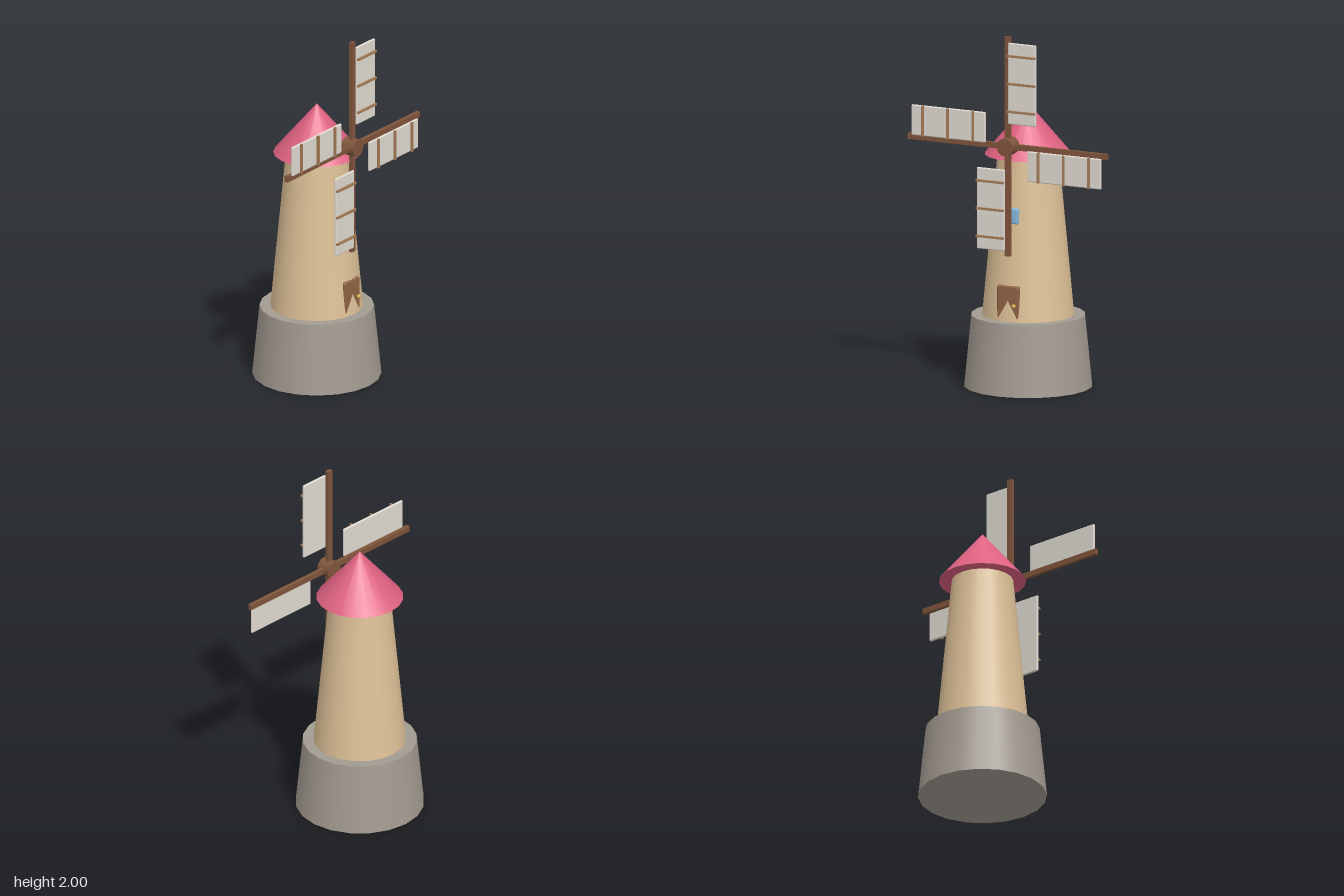
import * as THREE from 'three';
import { RoundedBoxGeometry } from 'three/addons/geometries/RoundedBoxGeometry.js';

const mat = (color) => new THREE.MeshStandardMaterial({ color });
const stone = mat(0xa39b91), plaster = mat(0xdfc298), tile = mat(0xdd6180);
const wood = mat(0x80553c), rail = mat(0xa67c58), cloth = mat(0xe0dbd2);
const glass = mat(0x86b8dc), doorWood = mat(0x906444), brass = mat(0xd9b040);

function add(parent, name, geometry, material, x = 0, y = 0, z = 0) {
  const mesh = new THREE.Mesh(geometry, material);
  mesh.name = name;
  mesh.position.set(x, y, z);
  parent.add(mesh);
  return mesh;
}

// One blade pointing up: half spar, cloth panel on its +x side, three rails
function createBlade() {
  const blade = new THREE.Group();
  blade.name = 'blade';
  add(blade, 'spar', new THREE.BoxGeometry(0.032, 0.616, 0.022), wood, 0, 0.308, 0);
  add(blade, 'sail', new THREE.Group() && new RoundedBoxGeometry(0.172, 0.457, 0.015, 2, 0.007), cloth, 0.097, 0.358, 0.0175);
  for (const offset of [-0.156, 0, 0.156]) {
    add(blade, 'sailRail', new THREE.BoxGeometry(0.172, 0.012, 0.012), rail, 0.097, 0.358 + offset, 0.031);
  }
  return blade;
}

export function createModel() {
  const mill = new THREE.Group();
  mill.name = 'windmill';

  // Body
  add(mill, 'stoneBase', new THREE.CylinderGeometry(0.315, 0.355, 0.4, 20), stone, 0, 0.2, 0);
  add(mill, 'tower', new THREE.CylinderGeometry(0.17, 0.255, 0.9, 20), plaster, 0, 0.85, 0);
  add(mill, 'roof', new THREE.ConeGeometry(0.24, 0.285, 20), tile, 0, 1.4425, 0);

  // Door, knob and window set into the sloping wall
  add(mill, 'door', new RoundedBoxGeometry(0.137, 0.2, 0.03, 2, 0.01), doorWood, 0, 0.5, 0.229);
  add(mill, 'doorKnob', new THREE.SphereGeometry(0.012, 12, 8), brass, 0.042, 0.492, 0.254);
  add(mill, 'window', new RoundedBoxGeometry(0.088, 0.088, 0.03, 2, 0.01), glass, 0, 0.985, 0.195);

  // Rotor: hub and four blades
  const rotor = new THREE.Group();
  rotor.name = 'rotor';
  rotor.position.set(0, 1.384, 0.24);
  mill.add(rotor);
  add(rotor, 'hub', new THREE.CylinderGeometry(0.05, 0.05, 0.082, 16), wood).rotation.x = Math.PI / 2;
  for (let i = 0; i < 4; i++) {
    const blade = createBlade();
    blade.rotation.z = -i * Math.PI / 2;
    rotor.add(blade);
  }
  return mill;
}
